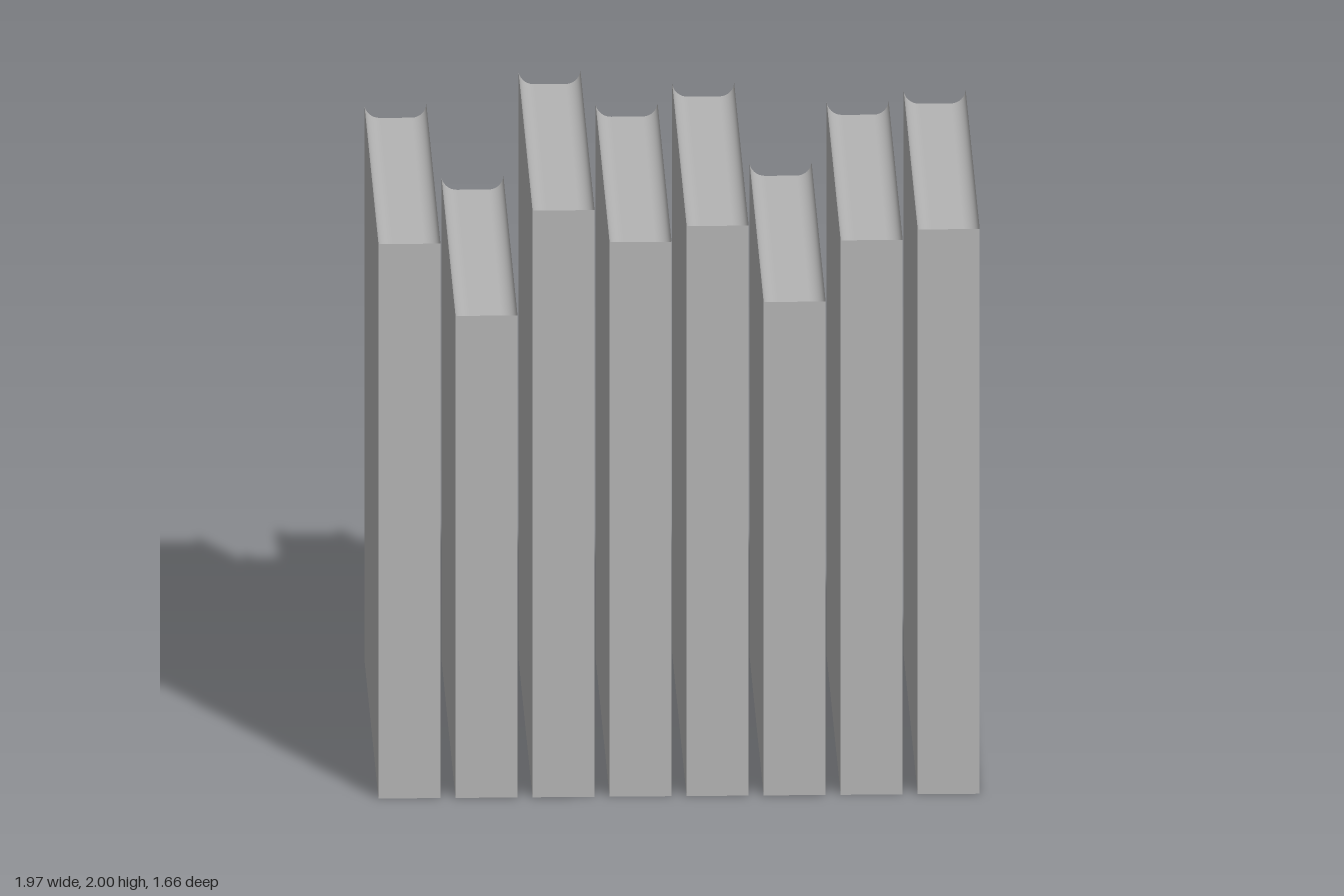
import * as THREE from 'three';

const WIDTH = 0.203, PITCH = 0.252, FRONT = 0.832;
const GROOVE = 0.038, ROUND = 0.05, STEPS = 8;

// Cross-section of the page edges: [x, inset], quarter rounds and a flat middle
function pageProfile() {
  const half = [];
  for (let i = 0; i <= STEPS; i++) {
    const a = (i / STEPS) * Math.PI / 2;
    half.push([-WIDTH / 2 + ROUND * (1 - Math.cos(a)), GROOVE * Math.sin(a)]);
  }
  return [...half, ...half.map(([x, d]) => [-x, d]).reverse()];
}

// One grooved strip; ends(d) gives its two [y, z] ends at inset d
function grooveStrip(profile, ends) {
  const pos = [], index = [];
  profile.forEach(([x, d], i) => {
    for (const [y, z] of ends(d)) pos.push(x, y, z);
    if (i < profile.length - 1) {
      const a = 2 * i;
      index.push(a, a + 1, a + 2, a + 2, a + 1, a + 3);
    }
  });
  const geo = new THREE.BufferGeometry();
  geo.setAttribute('position', new THREE.Float32BufferAttribute(pos, 3));
  geo.setIndex(index);
  geo.computeVertexNormals();
  return geo;
}

export function createModel() {
  const model = new THREE.Group();
  model.name = 'bookRow';
  const grey = new THREE.MeshStandardMaterial({ color: 0xb4b4b4, side: THREE.DoubleSide });
  grey.name = 'plainGrey';
  const profile = pageProfile();

  // Height and back position of each book, from the model's right to its left
  const books = [
    [1.89, -0.795], [1.643, -0.795], [2, -0.797], [1.89, -0.787],
    [1.943, -0.832], [1.682, -0.795], [1.89, -0.787], [1.925, -0.79],
  ];

  books.forEach(([h, back], n) => {
    const book = new THREE.Group();
    book.name = 'book' + (n + 1);
    book.position.x = (n - 3.5) * PITCH;
    const add = (name, geo) => {
      const mesh = new THREE.Mesh(geo, grey);
      mesh.name = name;
      book.add(mesh);
      return mesh;
    };

    // Spine and the two covers
    add('spine', new THREE.PlaneGeometry(WIDTH, h)).position.set(0, h / 2, FRONT);
    for (const side of [-1, 1]) {
      const cover = add(side < 0 ? 'rightCover' : 'leftCover', new THREE.PlaneGeometry(FRONT - back, h));
      cover.rotation.y = side * Math.PI / 2;
      cover.position.set(side * WIDTH / 2, h / 2, (FRONT + back) / 2);
    }

    // Page edges sunk between the covers, mitred at the back corners
    add('bottomPages', grooveStrip(profile, d => [[d, FRONT], [d, back + d]]));
    add('backPages', grooveStrip(profile, d => [[d, back + d], [h - d, back + d]]));
    add('topPages', grooveStrip(profile, d => [[h - d, back + d], [h - d, FRONT]]));
    model.add(book);
  });
  return model;
}
